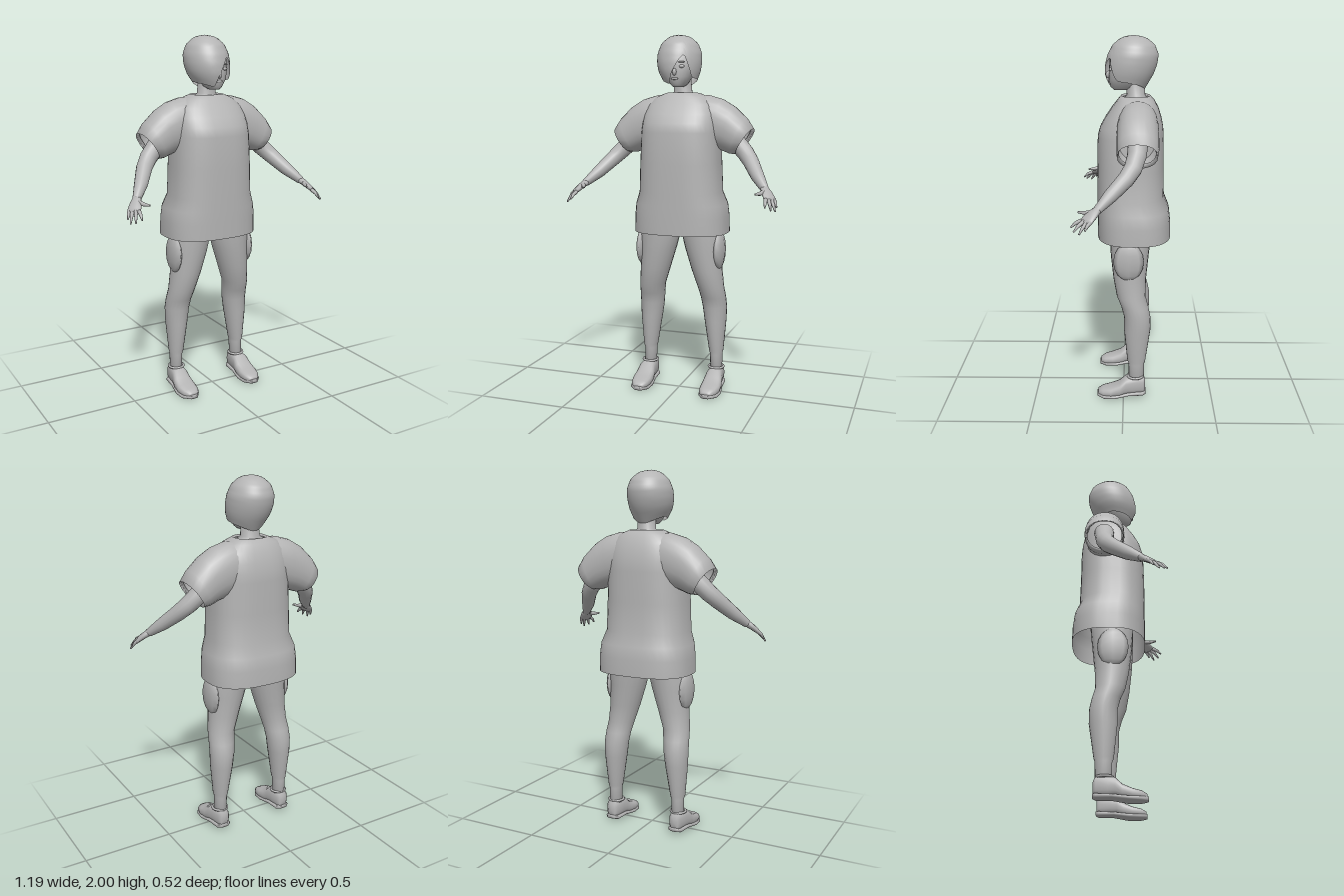
import * as THREE from 'three';

const V = (x, y, z) => new THREE.Vector3(x, y, z);

// Skin a list of closed rings; optionally close either end with a fan.
function skin(rings, capStart, capEnd) {
  const n = rings[0].length, pos = [], idx = [];
  rings.forEach(r => r.forEach(p => pos.push(p.x, p.y, p.z)));
  for (let i = 0; i < rings.length - 1; i++) {
    for (let j = 0; j < n; j++) {
      const a = i * n + j, b = i * n + (j + 1) % n;
      idx.push(a, b, a + n, b, b + n, a + n);
    }
  }
  const cap = (ring, base, flip) => {
    const c = ring.reduce((s, p) => s.add(p), V(0, 0, 0)).divideScalar(n);
    const k = pos.length / 3;
    pos.push(c.x, c.y, c.z);
    for (let j = 0; j < n; j++) {
      const a = base + j, b = base + (j + 1) % n;
      flip ? idx.push(b, a, k) : idx.push(a, b, k);
    }
  };
  if (capStart) cap(rings[0], 0, true);
  if (capEnd) cap(rings[rings.length - 1], (rings.length - 1) * n, false);
  const g = new THREE.BufferGeometry();
  g.setAttribute('position', new THREE.Float32BufferAttribute(pos, 3));
  g.setIndex(idx);
  g.computeVertexNormals();
  return g;
}

// Superellipse ring around centre c, spanned by half axes u and v.
function ring(c, u, v, n = 20, e = 2) {
  const f = t => Math.sign(t) * Math.pow(Math.abs(t), 2 / e);
  return Array.from({ length: n }, (_, j) => {
    const a = j / n * Math.PI * 2;
    return c.clone().addScaledVector(u, f(Math.cos(a))).addScaledVector(v, f(Math.sin(a)));
  });
}

// Horizontal ring from [y, xMin, xMax, zFront, zBack].
const level = ([y, x0, x1, zf, zb], n, e) =>
  ring(V((x0 + x1) / 2, y, (zf + zb) / 2), V(0, 0, (zf - zb) / 2), V((x1 - x0) / 2, 0, 0), n, e);

// Limb along points [x, y, z, radius across, radius deep]; ref is the across direction.
function limb(pts, ref, n = 12) {
  const c = pts.map(p => V(p[0], p[1], p[2]));
  return skin(pts.map((p, i) => {
    const d = c[Math.min(i + 1, c.length - 1)].clone().sub(c[Math.max(i - 1, 0)]).normalize();
    const u = ref.clone().addScaledVector(d, -d.dot(ref)).normalize();
    return ring(c[i], u.clone().multiplyScalar(p[3]), d.clone().cross(u).multiplyScalar(p[4] ?? p[3]), n);
  }), true, true);
}

// Linear interpolation in a table sorted by falling first column.
function sample(rows, y) {
  let i = 0;
  while (i < rows.length - 2 && rows[i + 1][0] > y) i++;
  const a = rows[i], b = rows[i + 1], t = (a[0] - y) / (a[0] - b[0]);
  return a.map((v, k) => v + (b[k] - v) * t);
}

export function createModel() {
  const grey = new THREE.MeshStandardMaterial({ color: 0xb4b4b4, side: THREE.DoubleSide });
  grey.name = 'plainGrey';
  const model = new THREE.Group();
  const add = (parent, name, geo) => {
    const m = new THREE.Mesh(geo, grey);
    m.name = name;
    parent.add(m);
    return m;
  };
  const ball = (parent, name, x, y, z, rx, ry, rz, n = 12) => {
    const m = add(parent, name, new THREE.SphereGeometry(1, n, 8));
    m.position.set(x, y, z);
    m.scale.set(rx, ry, rz);
    return m;
  };

  // Oversized shirt, open at hem and neck: [y, half width, front z, back z]
  add(model, 'shirt', skin([
    [0.91, 0.267, 0.145, -0.26], [1.0, 0.265, 0.146, -0.258], [1.07, 0.257, 0.146, -0.25],
    [1.14, 0.232, 0.146, -0.222], [1.3, 0.226, 0.146, -0.218], [1.47, 0.218, 0.142, -0.217],
    [1.52, 0.214, 0.128, -0.213], [1.57, 0.207, 0.1, -0.203], [1.62, 0.188, 0.066, -0.187],
    [1.66, 0.15, 0.035, -0.165], [1.685, 0.09, 0.015, -0.142], [1.675, 0.08, 0.005, -0.132],
  ].map(([y, r, f, b]) => level([y, -r, r, f, b], 36, 2.6))));

  // Neck with its flare under the collar
  add(model, 'neck', skin([
    [1.62, -0.13, 0.13, 0.01, -0.14], [1.665, -0.085, 0.085, 0, -0.13],
    [1.69, -0.052, 0.052, -0.015, -0.115], [1.78, -0.045, 0.045, -0.01, -0.11],
  ].map(r => level(r, 20))));

  // Head and face features
  const head = new THREE.Group();
  head.name = 'head';
  model.add(head);
  add(head, 'face', skin([
    [1.715, -0.025, 0.025, 0.055, -0.02], [1.73, -0.043, 0.043, 0.071, -0.06],
    [1.77, -0.07, 0.07, 0.082, -0.09], [1.82, -0.085, 0.085, 0.08, -0.13],
    [1.88, -0.09, 0.085, 0.075, -0.15], [1.94, -0.07, 0.06, 0.03, -0.12],
  ].map(r => level(r, 24, 2.2)), true, true));
  ball(head, 'nose', 0, 1.795, 0.083, 0.011, 0.02, 0.015);
  ball(head, 'lips', 0, 1.76, 0.079, 0.02, 0.007, 0.007);
  for (const s of [-1, 1]) {
    ball(head, 'eye', s * 0.036, 1.825, 0.07, 0.017, 0.009, 0.009);
    ball(head, 'brow', s * 0.036, 1.848, 0.072, 0.02, 0.004, 0.007);
  }

  // Short hair: each column runs from the crown to its own lower edge
  const hairShape = [
    [2.0, -0.02, -0.02, -0.05, -0.05], [1.993, -0.06, 0.03, -0.005, -0.1],
    [1.98, -0.083, 0.055, 0.025, -0.13], [1.95, -0.115, 0.088, 0.06, -0.165],
    [1.9, -0.133, 0.108, 0.087, -0.185], [1.85, -0.134, 0.111, 0.1, -0.178],
    [1.8, -0.122, 0.106, 0.102, -0.16], [1.75, -0.093, 0.09, 0.09, -0.13],
    [1.7, -0.055, 0.055, 0.065, -0.1],
  ];
  const fringe = [[1, 1.76], [0.85, 1.77], [0.55, 1.88], [0.45, 1.885], [-0.35, 1.73], [-1, 1.75]];
  const columns = 64, hairRows = [];
  for (let i = 0; i <= 18; i++) {
    hairRows.push(Array.from({ length: columns }, (_, j) => {
      const a = j / columns * Math.PI * 2, s = Math.sin(a), c = Math.cos(a);
      const low = c > 0 ? sample(fringe, s)[1] : 1.72 + 0.035 * s * s;
      const y = 2 - (2 - low) * Math.pow(1 - i / 18, 1.8);
      const [, x0, x1, zf, zb] = sample(hairShape, y);
      return V((x0 + x1) / 2 + s * (x1 - x0) / 2, y, (zf + zb) / 2 + c * (zf - zb) / 2);
    }));
  }
  add(head, 'hair', skin(hairRows));

  // Paired parts, built on the left and mirrored
  for (const s of [1, -1]) {
    const side = new THREE.Group();
    side.name = s > 0 ? 'leftSide' : 'rightSide';
    side.scale.x = s;
    model.add(side);

    // Wide sleeve: [x, y, z, half height vector x, y, half depth]
    add(side, 'sleeve', skin([
      [0.08, 1.545, -0.075, 0, 0.125, 0.1], [0.14, 1.535, -0.075, 0.012, 0.137, 0.108],
      [0.2, 1.517, -0.075, 0.03, 0.133, 0.11], [0.26, 1.49, -0.075, 0.04, 0.118, 0.11],
      [0.32, 1.448, -0.075, 0.046, 0.096, 0.109], [0.356, 1.42, -0.073, 0.045, 0.07, 0.104],
      [0.34, 1.433, -0.073, 0.04, 0.063, 0.094],
    ].map(([x, y, z, ux, uy, d]) => ring(V(x, y, z), V(ux, uy, 0), V(0, 0, d), 24, 2.2))));

    add(side, 'arm', limb([
      [0.22, 1.52, -0.08, 0.056], [0.31, 1.415, -0.07, 0.05], [0.365, 1.36, -0.05, 0.047],
      [0.405, 1.315, -0.015, 0.043], [0.46, 1.245, 0.06, 0.036], [0.515, 1.185, 0.125, 0.022],
    ], V(0.7, 0.7, 0), 16));

    // Hand with four fingers and a thumb
    const across = V(0.55, 0, -0.85);
    add(side, 'palm', limb([
      [0.508, 1.192, 0.117, 0.021, 0.02], [0.53, 1.17, 0.145, 0.032, 0.017],
      [0.55, 1.145, 0.172, 0.039, 0.014], [0.558, 1.133, 0.183, 0.033, 0.009],
    ], across));
    [[0.545, 1.105, 0.255], [0.573, 1.09, 0.24], [0.59, 1.082, 0.212], [0.591, 1.1, 0.183]].forEach((tip, i) => {
      const k = (i - 1.5) * 0.019, b = [0.553 + k * 0.55, 1.14, 0.178 - k * 0.85];
      const mid = b.map((v, q) => v + (tip[q] - v) * 0.55 + (q === 1 ? 0.006 : 0));
      add(side, 'finger', limb([[...b, 0.011], [...mid, 0.009], [...tip, 0.004]], across, 8));
    });
    add(side, 'thumb', limb([
      [0.522, 1.178, 0.14, 0.014], [0.502, 1.168, 0.185, 0.011], [0.486, 1.168, 0.222, 0.005],
    ], V(0.7, 0.7, 0), 8));

    // Leg: [y, inner x, outer x, front z, back z]
    add(side, 'leg', skin([
      [0.1, 0.168, 0.235, -0.03, -0.115], [0.2, 0.166, 0.235, -0.03, -0.117],
      [0.22, 0.16, 0.241, -0.022, -0.123], [0.4, 0.132, 0.256, -0.004, -0.15],
      [0.48, 0.12, 0.259, -0.004, -0.15], [0.54, 0.112, 0.256, 0.012, -0.138],
      [0.6, 0.1, 0.25, 0.037, -0.122], [0.7, 0.067, 0.241, 0.056, -0.125],
      [0.82, 0.03, 0.236, 0.07, -0.138], [0.93, 0.002, 0.238, 0.077, -0.15],
      [1.05, 0.0, 0.21, 0.08, -0.16],
    ].map(r => level(r, 20)), true, true));

    // Flat rounded pad on the outer thigh
    const pad = ball(side, 'thighPad', 0.228, 0.815, -0.028, 0.083, 0.108, 0.03, 8);
    pad.rotation.y = Math.PI / 2;

    // Shoe from heel to toe: [z, inner x, outer x, bottom, top]
    const across2 = (rows, e) => skin(rows.map(([z, x0, x1, y0, y1]) =>
      ring(V((x0 + x1) / 2, (y0 + y1) / 2, z), V((x1 - x0) / 2, 0, 0), V(0, (y1 - y0) / 2, 0), 20, e)), true, true);
    add(side, 'shoe', across2([
      [-0.124, 0.18, 0.226, 0.03, 0.105], [-0.11, 0.166, 0.24, 0.022, 0.128],
      [-0.05, 0.16, 0.247, 0.02, 0.128], [-0.015, 0.156, 0.253, 0.018, 0.122],
      [0.02, 0.15, 0.26, 0.01, 0.088], [0.07, 0.148, 0.262, 0.006, 0.066],
      [0.115, 0.155, 0.25, 0.006, 0.055], [0.142, 0.172, 0.228, 0.01, 0.04],
    ], 2.6));
    add(side, 'sole', across2([
      [-0.127, 0.178, 0.228, 0.02, 0.042], [-0.11, 0.16, 0.245, 0.015, 0.04],
      [-0.03, 0.156, 0.252, 0.015, 0.035], [0.05, 0.145, 0.265, 0.002, 0.024],
      [0.11, 0.15, 0.258, 0, 0.024], [0.148, 0.175, 0.226, 0.004, 0.026],
    ], 4));
    const cuff = add(side, 'shoeCollar', new THREE.TorusGeometry(0.042, 0.007, 8, 20));
    cuff.position.set(0.202, 0.124, -0.068);
    cuff.rotation.x = Math.PI / 2;
  }
  return model;
}
